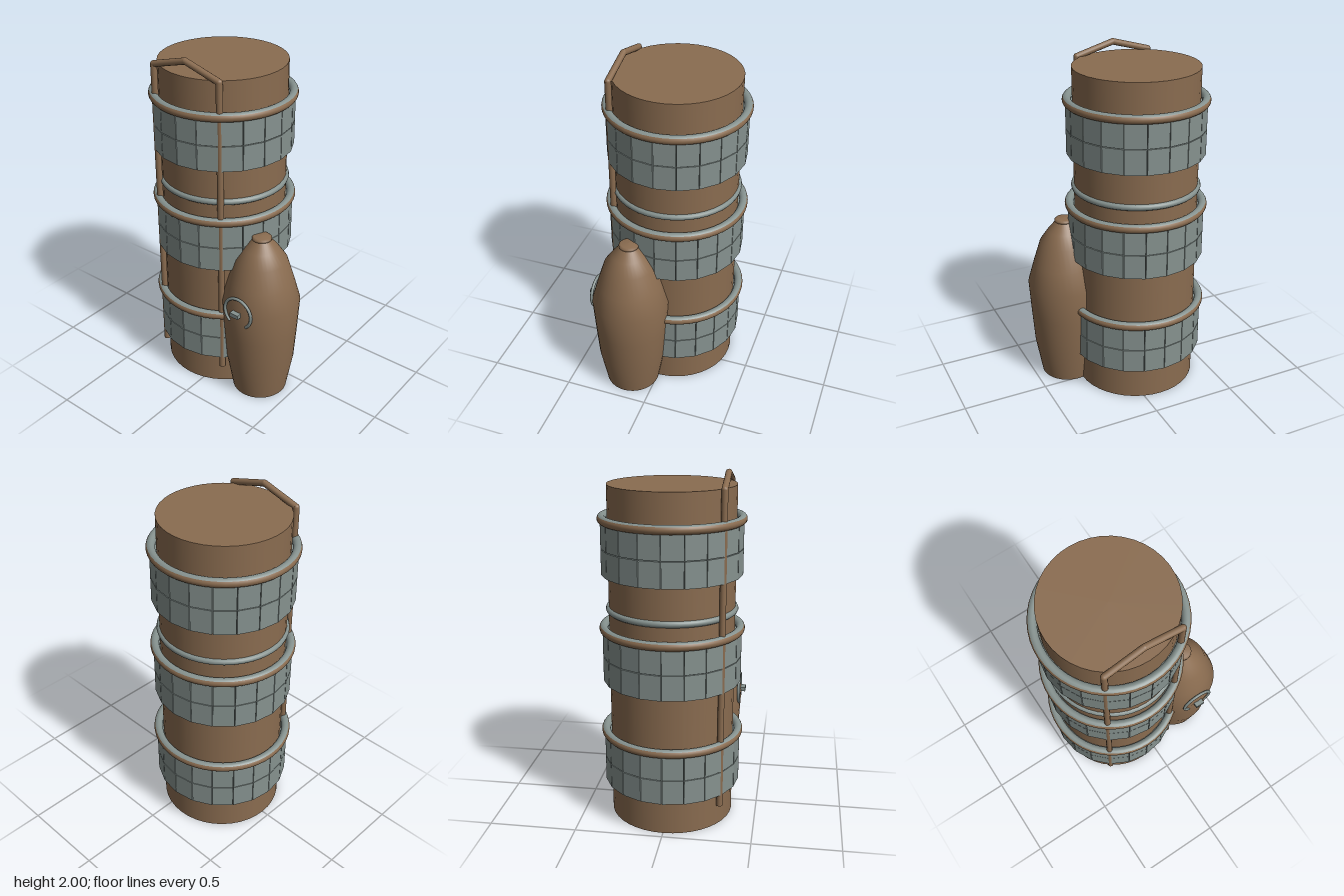
import * as THREE from 'three';

const brown = new THREE.MeshStandardMaterial({ color: 0x8a6c50 });
brown.name = 'brown paint';
const gray = new THREE.MeshStandardMaterial({ color: 0x86928f });
gray.name = 'gray steel';

const CORE_X = -0.103;
const CORE_R = 0.355;

function add(parent, name, geometry, material, x = 0, y = 0, z = 0) {
  const mesh = new THREE.Mesh(geometry, material);
  mesh.name = name;
  mesh.position.set(x, y, z);
  parent.add(mesh);
  return mesh;
}

// Part of a ring's round section swept about the y axis, angles in degrees
function ringArc(radius, tube, from, to) {
  const points = [];
  for (let i = 0; i <= 10; i++) {
    const a = THREE.MathUtils.degToRad(from + ((to - from) * i) / 10);
    points.push(new THREE.Vector2(radius + tube * Math.cos(a), tube * Math.sin(a)));
  }
  return new THREE.LatheGeometry(points, 48);
}

// Round bar between two points
function bar(parent, name, a, b, radius) {
  const dir = b.clone().sub(a);
  const mesh = add(parent, name, new THREE.CylinderGeometry(radius, radius, dir.length(), 14), brown);
  mesh.position.copy(a).add(b).multiplyScalar(0.5);
  mesh.quaternion.setFromUnitVectors(new THREE.Vector3(0, 1, 0), dir.normalize());
}

// Two rows of flat panels under a two-coloured hoop
function panelBand(parent, bottom) {
  const band = new THREE.Group();
  band.name = 'panelBand';
  band.position.y = bottom;
  parent.add(band);
  const count = 20;
  const panel = new THREE.BoxGeometry(0.119, 0.143, 0.045);
  for (let row = 0; row < 2; row++) {
    for (let i = 0; i < count; i++) {
      const a = ((i + 0.5) / count) * Math.PI * 2;
      const r = 0.3665;
      const mesh = add(band, 'panel', panel, gray, r * Math.sin(a), 0.0715 + row * 0.147, r * Math.cos(a));
      mesh.rotation.y = a;
    }
  }
  add(band, 'hoopOuter', ringArc(0.385, 0.025, -150, 42), brown, 0, 0.305, 0);
  add(band, 'hoopInner', ringArc(0.385, 0.025, 42, 210), gray, 0, 0.305, 0);
}

export function createModel() {
  const model = new THREE.Group();
  model.name = 'tankAssembly';

  // Main drum with its bands
  const drum = new THREE.Group();
  drum.name = 'drum';
  drum.position.x = CORE_X;
  model.add(drum);
  add(drum, 'drumBody', new THREE.CylinderGeometry(CORE_R, CORE_R, 1.92, 40), brown, 0, 0.96, 0);
  for (const y of [0.2, 0.815, 1.43]) panelBand(drum, y);
  add(drum, 'thinHoop', ringArc(0.352, 0.019, -180, 180), gray, 0, 1.232, 0);

  // Rail frame up the front, peaked at the top
  const rail = new THREE.Group();
  rail.name = 'railFrame';
  rail.position.set(CORE_X, 0, 0.305);
  model.add(rail);
  const peak = new THREE.Vector3(0, 1.982, 0);
  for (const side of [-1, 1]) {
    const top = new THREE.Vector3(side * 0.222, 1.92, 0);
    bar(rail, 'railPost', new THREE.Vector3(side * 0.222, 0.13, 0), top, 0.018);
    bar(rail, 'railPeak', top, peak, 0.018);
    add(rail, 'railCorner', new THREE.SphereGeometry(0.018, 14, 10), brown, top.x, top.y, 0);
  }
  add(rail, 'railTip', new THREE.SphereGeometry(0.018, 14, 10), brown, 0, peak.y, 0);

  // Bulging side tank
  const tank = new THREE.Group();
  tank.name = 'sideTank';
  tank.position.set(0.285, 0, 0.152);
  model.add(tank);
  const profile = [[0.16, 0], [0.198, 0.22], [0.212, 0.42], [0.224, 0.62], [0.187, 0.75],
    [0.146, 0.88], [0.098, 0.95], [0.048, 1.01]];
  add(tank, 'tankShell', new THREE.LatheGeometry(profile.map(([r, y]) => new THREE.Vector2(r, y)), 36), brown);
  const base = add(tank, 'tankBase', new THREE.CircleGeometry(0.16, 36), brown);
  base.rotation.x = Math.PI / 2;
  const capProfile = [[0.046, 0], [0.056, 0.006], [0.056, 0.016], [0.046, 0.024], [0, 0.027]];
  add(tank, 'tankCap', new THREE.LatheGeometry(capProfile.map(([r, y]) => new THREE.Vector2(r, y)), 24), brown, 0, 1.001, 0);

  // Open ring and latch on the tank front
  const arc = THREE.MathUtils.degToRad(286);
  const ring = add(tank, 'latchRing', new THREE.TorusGeometry(0.091, 0.009, 10, 32, arc), gray, -0.003, 0.62, 0.211);
  ring.rotation.z = Math.PI / 2 - arc / 2;
  add(tank, 'latch', new THREE.BoxGeometry(0.055, 0.025, 0.04), gray, -0.003, 0.62, 0.228);

  return model;
}
